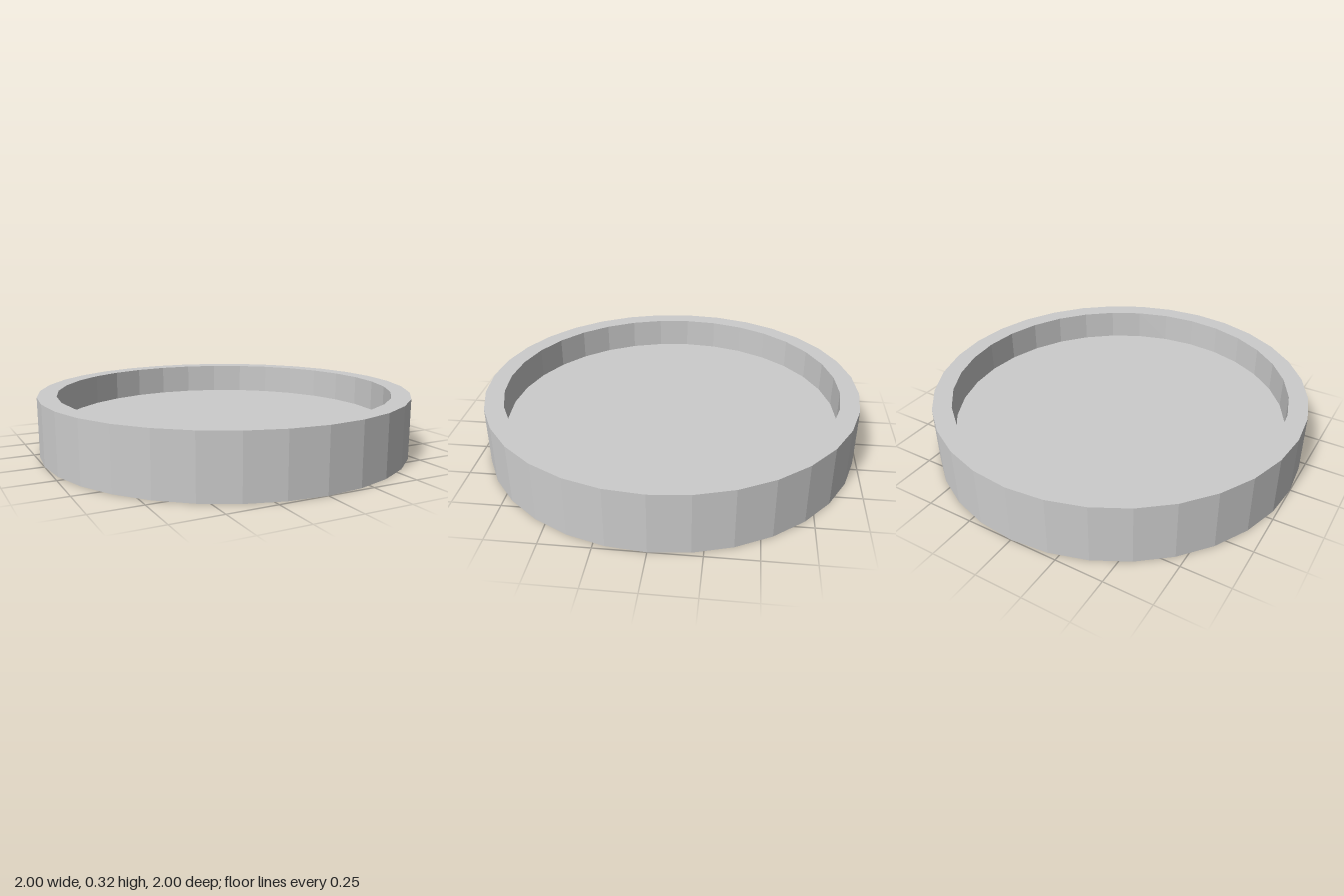
import * as THREE from 'three';

const SIDES = 32;
const RADIUS = 1;
const INNER_RADIUS = 0.9;
const HEIGHT = 0.316;
const FLOOR = 0.15;

export function createModel() {
  const group = new THREE.Group();
  group.name = 'roundTray';

  // Cross-section: underside, outer wall, rim, inner wall, recessed floor
  const profile = [
    [0, 0],
    [RADIUS, 0],
    [RADIUS, HEIGHT],
    [INNER_RADIUS, HEIGHT],
    [INNER_RADIUS, FLOOR],
    [0, FLOOR],
  ].map(([r, y]) => new THREE.Vector2(r, y));

  const geometry = new THREE.LatheGeometry(profile, SIDES).toNonIndexed();
  geometry.computeVertexNormals();

  const material = new THREE.MeshStandardMaterial({ color: 0xcccccc, flatShading: true });
  const tray = new THREE.Mesh(geometry, material);
  tray.name = 'trayBody';
  group.add(tray);

  return group;
}
